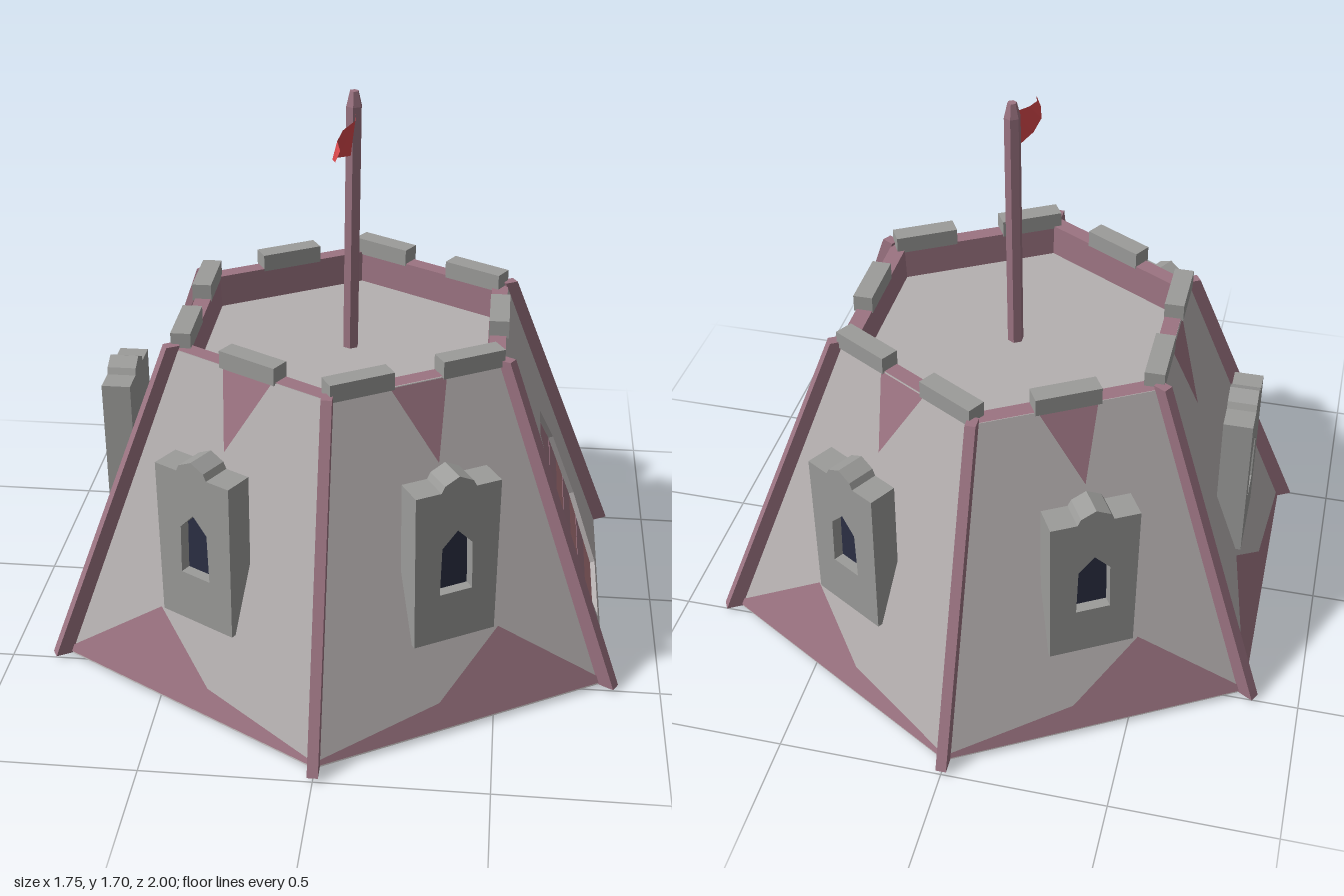
import * as THREE from 'three';

const mat = (color) => new THREE.MeshStandardMaterial({ color, flatShading: true, side: THREE.DoubleSide });
const stone = mat(0xb5b0b0), blockStone = mat(0x9c9c9a), mauve = mat(0x9c7482);
const plankPink = mat(0xb27a80), dark = mat(0x2c3044), red = mat(0xd9484c);

// Hexagonal body: apothem at ground and at the rim
const H = 0.97, AP0 = 0.83, AP1 = 0.49, TAN = Math.tan(Math.PI / 6), COS = Math.cos(Math.PI / 6);
const TILT = Math.atan((AP0 - AP1) / H), SLOPE = 1 / Math.cos(TILT);

const shapeOf = (pts) => new THREE.Shape(pts.map(([x, y]) => new THREE.Vector2(x, y)));
const onSlope = (pts) => pts.map(([u, y]) => [u, y * SLOPE]);

function add(parent, name, geometry, material, x = 0, y = 0, z = 0) {
  const mesh = new THREE.Mesh(geometry, material);
  mesh.name = name;
  mesh.position.set(x, y, z);
  parent.add(mesh);
  return mesh;
}

function extrude(pts, depth, holePts) {
  const shape = shapeOf(pts);
  if (holePts) shape.holes.push(shapeOf(holePts));
  return new THREE.ExtrudeGeometry(shape, { depth, bevelEnabled: false });
}

const DOOR = [[-0.16, 0.02], [0.16, 0.02], [0.205, 0.26], [0.165, 0.49], [0.075, 0.63], [-0.075, 0.63], [-0.165, 0.49], [-0.205, 0.26]];

// Half width of the door opening at a height
function doorHalf(y) {
  for (let i = 1; i < 4; i++) {
    const [u0, y0] = DOOR[i], [u1, y1] = DOOR[i + 1];
    if (y <= y1) return u0 + (u1 - u0) * (y - y0) / (y1 - y0);
  }
  return DOOR[4][0];
}

function makeDoor(slope) {
  add(slope, 'doorBacking', new THREE.ShapeGeometry(shapeOf(onSlope(DOOR))), dark, 0, 0, -0.038);
  // Two-tone planks with dark gaps between the boards
  const edges = [0.02, 0.1, 0.18, 0.255, 0.33, 0.405, 0.48, 0.63];
  for (let i = 0; i < edges.length - 1; i++) {
    const a = edges[i] + (i % 2 === 0 && i > 0 ? 0.006 : 0), b = edges[i + 1];
    const cuts = [a, ...DOOR.slice(2, 4).map((p) => p[1]).filter((y) => y > a && y < b), b];
    const rightSide = cuts.map((y) => [doorHalf(y), y]);
    const leftSide = cuts.map((y) => [-doorHalf(y), y]).reverse();
    const pink = i % 2 === 0 && i < 6;
    add(slope, 'doorPlank', extrude(onSlope([...rightSide, ...leftSide]), 0.02), pink ? plankPink : mauve, 0, 0, -0.036);
  }
}

// Upright window block with a small peaked top
function makeWindowBlock(face) {
  const outline = [[-0.13, 0.26], [0.13, 0.26], [0.135, 0.758], [0.055, 0.758], [0.045, 0.778], [0, 0.8], [-0.045, 0.778], [-0.055, 0.758], [-0.135, 0.758]];
  const opening = [[-0.052, 0.42], [0.052, 0.42], [0.048, 0.575], [0, 0.625], [-0.048, 0.575]];
  add(face, 'windowBlock', extrude(outline, 0.09, opening), blockStone, 0, 0, 0.665);
  add(face, 'windowPane', extrude(opening, 0.055), dark, 0, 0, 0.667);
}

function makeFace(index) {
  const face = new THREE.Group();
  face.name = 'wallSide' + index;
  face.rotation.y = (30 + 60 * index) * Math.PI / 180;
  const slope = new THREE.Group();
  slope.name = 'slopedWall';
  slope.position.z = AP0;
  slope.rotation.x = -TILT;
  face.add(slope);

  const isDoor = index === 1;
  const wall = [[-AP0 * TAN, 0], [AP0 * TAN, 0], [AP1 * TAN, H], [-AP1 * TAN, H]];
  add(slope, 'wall', extrude(onSlope(wall), 0.04, isDoor ? onSlope(DOOR) : null), stone, 0, 0, -0.04);

  if (isDoor) {
    makeDoor(slope);
  } else {
    makeWindowBlock(face);
    // Painted patches at foot and rim, mirrored from side to side
    const s = [1, 0, -1, 1, -1, -1][index];
    const foot = [[-0.47, 0.005], [0.47, 0.005], [0.46, 0.025], [0.15, 0.25], [-0.07, 0.08], [-0.46, 0.02]];
    const rim = [[-0.09, 0.968], [0.03, 0.74], [0.09, 0.968]];
    for (const patch of [foot, rim]) {
      const pts = onSlope(patch).map(([u, v]) => [u * s, v]);
      add(slope, 'paintPatch', new THREE.ShapeGeometry(shapeOf(pts)), mauve, 0, 0, 0.003);
    }
  }

  // Merlons: sides alternate between a pair at the ends and one in the middle
  for (const u of index % 2 === 0 ? [-0.178, 0.178] : [0]) {
    add(face, 'merlon', new THREE.BoxGeometry(0.2, 0.055, 0.06), blockStone, u, 0.992, 0.468);
  }
  return face;
}

function makeFlag() {
  // Cross-sections from pole to tip: x, z, low y, high y
  const rows = [[0.02, 0.01, 1.5, 1.63], [0.024, 0.07, 1.515, 1.622], [-0.006, 0.13, 1.53, 1.612], [-0.016, 0.19, 1.545, 1.6], [-0.002, 0.243, 1.556, 1.59]];
  const pos = [], idx = [];
  rows.forEach(([x, z, lo, hi], i) => {
    pos.push(x - 0.008, lo, z, x + 0.006, hi, z);
    if (i) idx.push(2 * i - 2, 2 * i, 2 * i - 1, 2 * i - 1, 2 * i, 2 * i + 1);
  });
  const g = new THREE.BufferGeometry();
  g.setAttribute('position', new THREE.Float32BufferAttribute(pos, 3));
  g.setIndex(idx);
  g.computeVertexNormals();
  return g;
}

export function createModel() {
  const model = new THREE.Group();
  model.name = 'fort';

  for (let i = 0; i < 6; i++) model.add(makeFace(i));

  // Corner ribs
  const ribProfile = [[0.92, 0], [1, 0], [0.99, 0.025], [0.592, 0.985], [0.55, 0.985]];
  for (let i = 0; i < 6; i++) {
    const corner = new THREE.Group();
    corner.name = 'cornerRib';
    corner.rotation.y = (30 + 60 * i) * Math.PI / 180;
    add(corner, 'rib', extrude(ribProfile, 0.032), mauve, 0, 0, -0.016);
    model.add(corner);
  }

  // Parapet rim and inner face
  const parapet = [[0.435, 0.865], [0.44, 0.972], [AP1, 0.972]].map(([a, y]) => new THREE.Vector2(a / COS, y));
  add(model, 'parapet', new THREE.LatheGeometry(parapet, 6), mauve);

  // Roof deck and underside
  add(model, 'roofDeck', new THREE.CylinderGeometry(0.45 / COS, 0.45 / COS, 0.02, 6), stone, 0, 0.86, 0);
  add(model, 'underside', new THREE.CylinderGeometry(AP0 / COS - 0.01, AP0 / COS, 0.01, 6), stone, 0, 0.005, 0);

  // Flagpole with a tapered tip, leaning slightly
  const pole = new THREE.Group();
  pole.name = 'flagpole';
  pole.position.set(0.01, 0.865, 0);
  pole.rotation.z = -0.012;
  add(pole, 'poleShaft', new THREE.CylinderGeometry(0.025, 0.025, 0.78, 6), mauve, 0, 0.39, 0);
  add(pole, 'poleTip', new THREE.CylinderGeometry(0.014, 0.025, 0.045, 6), mauve, 0, 0.8025, 0);
  model.add(pole);
  add(model, 'flag', makeFlag(), red);

  return model;
}
